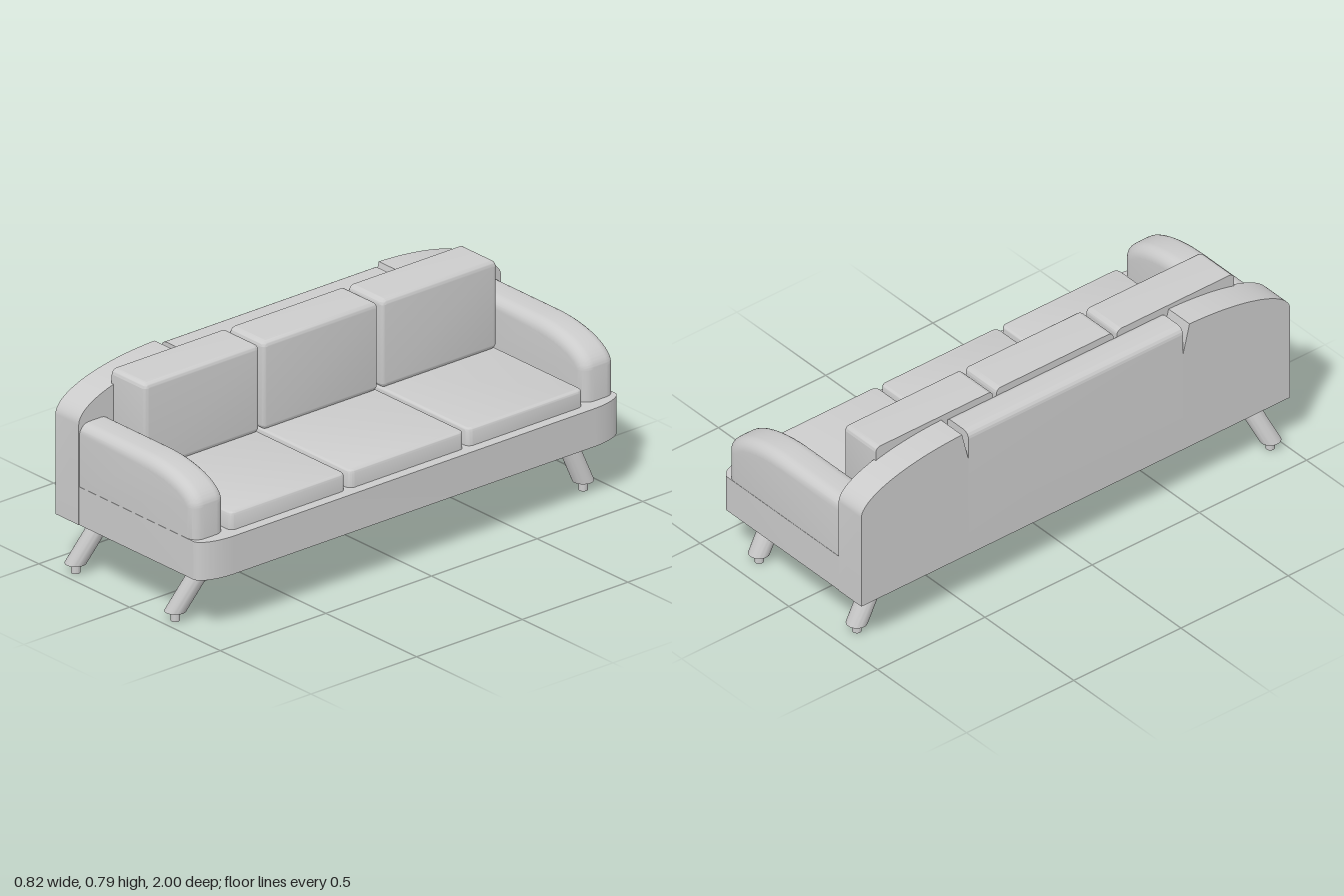
import * as THREE from 'three';
import { toCreasedNormals } from 'three/addons/utils/BufferGeometryUtils.js';

const material = new THREE.MeshStandardMaterial({ color: 0xcccccc });

function add(parent, name, geometry) {
  const mesh = new THREE.Mesh(toCreasedNormals(geometry, 0.6), material);
  mesh.name = name;
  parent.add(mesh);
  return mesh;
}

const extrude = (shape, depth, bevel = 0) => new THREE.ExtrudeGeometry(shape, {
  depth, curveSegments: 20, bevelEnabled: bevel > 0,
  bevelSize: bevel, bevelThickness: bevel, bevelOffset: -bevel, bevelSegments: 6,
});

// Rectangle with rounded corners, centred on the origin
function roundedRect(w, h, r) {
  const s = new THREE.Shape(), x = w / 2, y = h / 2;
  s.moveTo(-x + r, -y);
  s.absarc(x - r, -y + r, r, -Math.PI / 2, 0);
  s.absarc(x - r, y - r, r, 0, Math.PI / 2);
  s.absarc(-x + r, y - r, r, Math.PI / 2, Math.PI);
  s.absarc(-x + r, -y + r, r, Math.PI, Math.PI * 1.5);
  return s;
}

// Pad lying in xy with a rounded front (+z) and a flat, sharp-edged back at z = 0
function padGeometry(w, h, depth, corner, bevel) {
  const g = extrude(roundedRect(w, h, corner), depth - bevel, bevel);
  const p = g.attributes.position;
  for (let i = 0; i < p.count; i++) p.setZ(i, Math.max(0, p.getZ(i)));
  return g;
}

// Leg leaning from top to foot, with level ends
function leaningCylinder(top, foot, radius) {
  const h = top.y - foot.y;
  const g = new THREE.CylinderGeometry(radius, radius, h, 32);
  g.applyMatrix4(new THREE.Matrix4().set(
    1, (top.x - foot.x) / h, 0, (top.x + foot.x) / 2,
    0, 1, 0, (top.y + foot.y) / 2,
    0, (top.z - foot.z) / h, 1, (top.z + foot.z) / 2,
    0, 0, 0, 1));
  return g;
}

export function createModel() {
  const sofa = new THREE.Group();
  sofa.name = 'sofa';
  const bottom = 0.228, seat = 0.378, back = -0.408, backFront = -0.28;

  // Base with softly rounded front corners
  const plan = new THREE.Shape();
  plan.moveTo(backFront, -0.998);
  plan.lineTo(0.348, -0.998);
  plan.absellipse(0.348, -0.848, 0.06, 0.15, -Math.PI / 2, 0);
  plan.lineTo(0.408, 0.848);
  plan.absellipse(0.348, 0.848, 0.06, 0.15, 0, Math.PI / 2);
  plan.lineTo(backFront, 0.998);
  add(sofa, 'base', extrude(plan, seat - bottom).rotateX(-Math.PI / 2).translate(0, bottom, 0));

  // Middle of the backrest, rounded along both top edges
  const r = 0.03, top = 0.768;
  const section = new THREE.Shape();
  section.moveTo(back, bottom);
  section.lineTo(backFront, bottom);
  section.lineTo(backFront, top - r);
  section.absarc(backFront - r, top - r, r, 0, Math.PI / 2);
  section.absarc(back + r, top - r, r, Math.PI / 2, Math.PI);
  add(sofa, 'backrestMiddle', extrude(section, 1).translate(0, 0, -0.5));

  for (const side of [-1, 1]) {
    const label = side > 0 ? 'Left' : 'Right';

    // Curved backrest end, with a narrow notch next to the middle
    const end = new THREE.Shape();
    end.moveTo(side * 0.5, bottom);
    end.lineTo(side, bottom);
    end.lineTo(side, 0.622);
    for (let i = 1; i <= 24; i++) {
      const a = (i / 24) * 1.51;
      end.lineTo(side * (0.5 + 0.5 * Math.cos(a)), 0.622 + 0.151 * Math.sin(a));
    }
    end.lineTo(side * 0.5, 0.65);
    add(sofa, 'backrestEnd' + label,
      extrude(end, backFront - back).rotateY(Math.PI / 2).translate(back, 0, 0));

    // Armrest sloping down to the front, its lower edge sunk into the base
    const arm = new THREE.Shape();
    arm.moveTo(-0.34, 0.3);
    arm.lineTo(0.357, 0.3);
    arm.lineTo(0.357, 0.5);
    arm.absellipse(0.06, 0.5, 0.297, 0.122, 0, Math.PI / 2);
    arm.lineTo(-0.34, 0.622);
    const bevel = 0.045, width = 0.148;
    add(sofa, 'armrest' + label, extrude(arm, width - 2 * bevel, bevel)
      .translate(0, 0, side * 0.923 - width / 2 + bevel));
  }

  // Three seat cushions and three back cushions
  for (const i of [-1, 0, 1]) {
    const z = i * 0.562;
    add(sofa, 'seatCushion', padGeometry(0.647, 0.546, 0.068, 0.025, 0.012)
      .rotateX(-Math.PI / 2).translate(0.0435, seat, z));
    add(sofa, 'backCushion', padGeometry(0.546, 0.347, 0.183, 0.022, 0.02)
      .rotateY(Math.PI / 2).translate(-0.29, 0.6165, z));
  }

  // Splayed legs, each ending in a small peg
  const pairs = [
    { z: 0.87, footZ: 0.948, lean: -0.073 },
    { z: -0.828, footZ: -0.906, lean: 0.016 },
  ];
  for (const x of [0.265, -0.285]) {
    for (const { z, footZ, lean } of pairs) {
      const leg = new THREE.Group();
      leg.name = x > 0 ? 'frontLeg' : 'backLeg';
      const foot = new THREE.Vector3(x + lean, 0.038, footZ);
      add(leg, 'post', leaningCylinder(new THREE.Vector3(x, 0.232, z), foot, 0.04));
      add(leg, 'peg', new THREE.CylinderGeometry(0.017, 0.017, 0.042, 24)
        .translate(foot.x, 0.021, foot.z));
      sofa.add(leg);
    }
  }
  return sofa;
}
